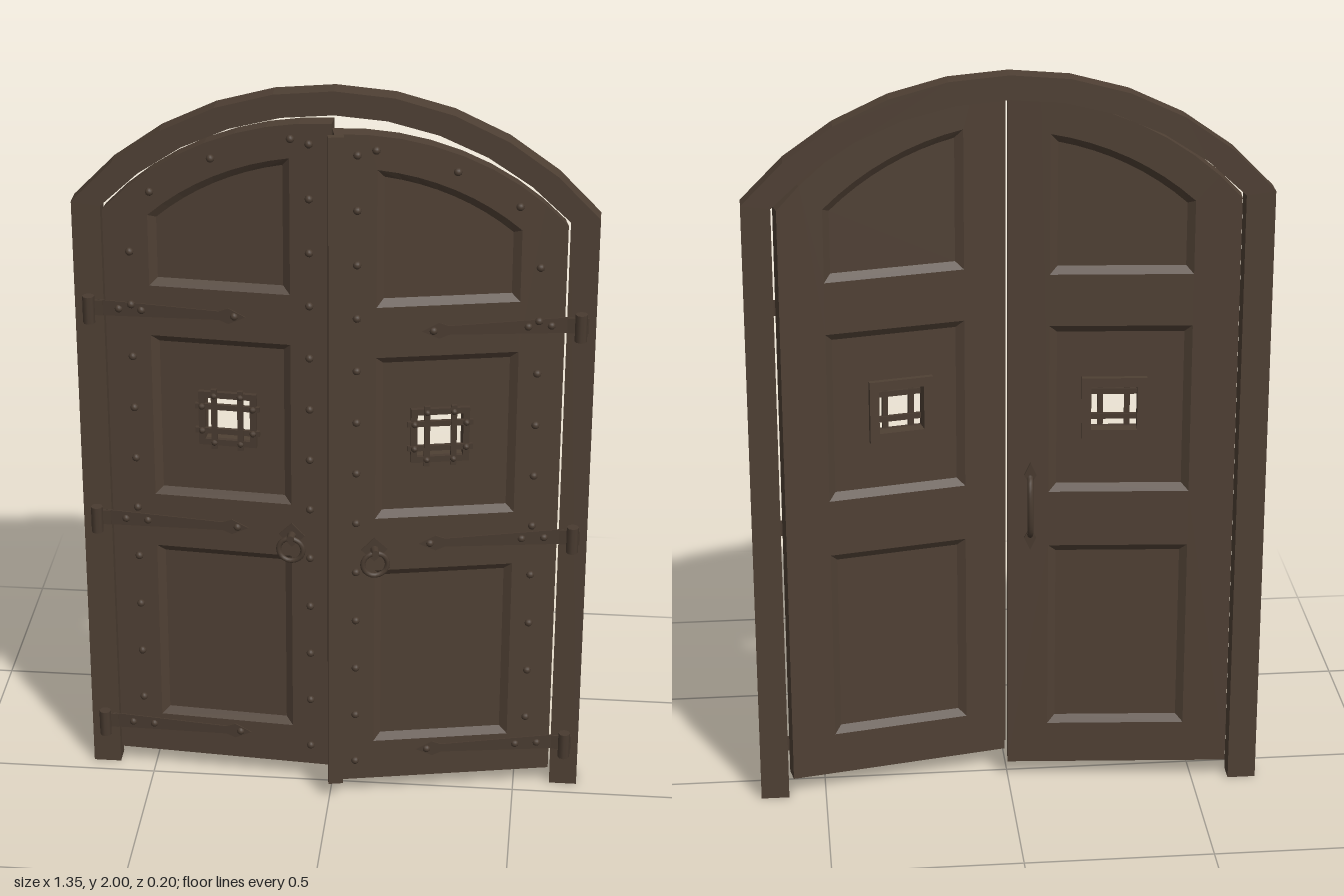
import * as THREE from 'three';

const wood = new THREE.MeshStandardMaterial({ color: 0x4f4034 });
wood.name = 'brown wood';
const iron = new THREE.MeshStandardMaterial({ color: 0x493b30 });
iron.name = 'dark iron';

const ARCH_Y = 1.125;            // centre height of every arch
const HINGE_X = 0.595, WIDTH = 0.595, THICK = 0.045;
const INSET = 0.02, RECESS = 0.014;
const HINGE_YS = [0.135, 0.775, 1.39];

function add(parent, name, geometry, material, x = 0, y = 0, z = 0) {
  const mesh = new THREE.Mesh(geometry, material);
  mesh.name = name;
  mesh.position.set(x, y, z);
  parent.add(mesh);
  return mesh;
}

const V = (x, y) => new THREE.Vector2(x, y);
const rect = (x0, y0, x1, y1) => [V(x0, y0), V(x1, y0), V(x1, y1), V(x0, y1)];

function plate(points, holes, depth, z) {
  const shape = new THREE.Shape(points);
  for (const h of holes) shape.holes.push(new THREE.Path(h));
  return new THREE.ExtrudeGeometry(shape, { depth, bevelEnabled: false }).translate(0, 0, z);
}

// Outline with a flat bottom and an arched top, u running from hinge to free edge
function archedOutline(u0, u1, y0, radius, segments, dir) {
  const pts = [V(dir * u0, y0), V(dir * u1, y0)];
  const a0 = Math.asin((0.6 - u1) / radius), a1 = Math.asin((0.6 - u0) / radius);
  for (let i = 0; i <= segments; i++) {
    const a = a0 + (a1 - a0) * i / segments;
    pts.push(V(dir * (0.6 - radius * Math.sin(a)), ARCH_Y + radius * Math.cos(a)));
  }
  return pts;
}

// Sloped moulding between two matching outlines, on the front (side 1) or back (side -1)
function moulding(outer, inner, zOuter, zInner, side) {
  const flip = THREE.ShapeUtils.isClockWise(outer) !== (side < 0);
  const pos = [];
  outer.forEach((a, i) => {
    const j = (i + 1) % outer.length, b = outer[j], c = inner[j], d = inner[i];
    const q = [[a.x, a.y, zOuter], [b.x, b.y, zOuter], [c.x, c.y, zInner], [d.x, d.y, zInner]];
    for (const k of flip ? [0, 2, 1, 0, 3, 2] : [0, 1, 2, 0, 2, 3]) pos.push(...q[k]);
  });
  const g = new THREE.BufferGeometry();
  g.setAttribute('position', new THREE.Float32BufferAttribute(pos, 3));
  g.computeVertexNormals();
  return g;
}

function doorFrame(root) {
  const pts = [V(-0.675, 0), V(-0.6, 0)];
  const arc = (radius, half, from) => {
    const m = Math.asin(half / radius);
    for (let i = 0; i <= 10; i++) {
      const a = from * m * (1 - i / 5);
      pts.push(V(radius * Math.sin(a), ARCH_Y + radius * Math.cos(a)));
    }
  };
  arc(0.812, 0.6, -1);
  pts.push(V(0.6, 0), V(0.675, 0));
  arc(0.875, 0.675, 1);
  add(root, 'archedFrame', plate(pts, [], 0.055, -0.1), wood);
}

function grille(leaf, dir) {
  const g = new THREE.Group();
  g.name = 'windowGrille';
  g.position.set(dir * 0.317, 1.09, 0);
  leaf.add(g);
  const square = h => rect(-h, -h, h, h);
  add(g, 'frontWindowFrame', plate(square(0.077), [square(0.06)], 0.012, -RECESS), iron);
  add(g, 'backWindowFrame', plate(square(0.085), [square(0.06)], 0.014, -THICK), wood);
  for (const o of [-0.035, 0.035]) {
    add(g, 'verticalBar', new THREE.BoxGeometry(0.015, 0.172, 0.01), iron, o, 0, -0.002);
    add(g, 'horizontalBar', new THREE.BoxGeometry(0.172, 0.015, 0.01), iron, 0, o, -0.005);
  }
  for (const o of [-0.068, 0.068]) for (const p of [-0.035, 0.035]) {
    add(g, 'grilleRivet', new THREE.SphereGeometry(0.009, 8, 6), iron, o, p, 0);
    add(g, 'grilleRivet', new THREE.SphereGeometry(0.009, 8, 6), iron, p, o, 0);
  }
}

function ringPull(leaf, dir) {
  const g = new THREE.Group();
  g.name = 'ringPull';
  g.position.set(dir * 0.488, 0.73, 0);
  leaf.add(g);
  const back = add(g, 'pullPlate', new THREE.BoxGeometry(0.05, 0.05, 0.004), iron, 0, 0.035, 0.002);
  back.rotation.z = Math.PI / 4;
  const post = add(g, 'pullPost', new THREE.CylinderGeometry(0.01, 0.012, 0.03, 10), iron, 0, 0.035, 0.014);
  post.rotation.x = Math.PI / 2;
  add(g, 'ring', new THREE.TorusGeometry(0.033, 0.007, 8, 20), iron, 0, 0, 0.02);
}

function backHandle(leaf, dir) {
  const g = new THREE.Group();
  g.name = 'backHandle';
  g.position.set(dir * 0.535, 0.815, -THICK);
  leaf.add(g);
  const path = new THREE.CatmullRomCurve3([[-0.085, 0], [-0.065, -0.025], [0, -0.038], [0.065, -0.025], [0.085, 0]]
    .map(([y, z]) => new THREE.Vector3(0, y, z)));
  add(g, 'grip', new THREE.TubeGeometry(path, 16, 0.008, 8), iron);
  for (const s of [-1, 1]) {
    const end = [V(0, s * 0.06), V(0.016, s * 0.09), V(0, s * 0.125), V(-0.016, s * 0.09)];
    add(g, 'handleEnd', plate(end, [], 0.006, -0.006), iron);
  }
}

function doorLeaf(root, name, dir, angle) {
  const leaf = new THREE.Group();
  leaf.name = name;
  leaf.position.set(-dir * HINGE_X, 0, -0.045);
  leaf.rotation.y = -dir * angle;
  root.add(leaf);

  // Stiles and rails around three recessed panels
  const box = (y0, y1) => i => rect(dir * (0.118 + i), y0 + i, dir * (0.487 - i), y1 - i);
  const panels = [
    ['lowerPanel', box(0.168, 0.7)],
    ['middlePanel', box(0.855, 1.32)],
    ['upperPanel', i => archedOutline(0.118 + i, 0.487 - i, 1.46 + i, 0.717 - i, 8, dir)],
  ];
  const outline = archedOutline(0, WIDTH, 0.05, 0.806, 8, dir);
  add(leaf, 'stilesAndRails', plate(outline, panels.map(p => p[1](0)), THICK, -THICK), wood);
  for (const [label, shape] of panels) {
    const c = dir * 0.317;
    const holes = label === 'middlePanel' ? [rect(c - 0.06, 1.03, c + 0.06, 1.15)] : [];
    add(leaf, label, plate(shape(INSET), holes, THICK - 2 * RECESS, RECESS - THICK), wood);
    add(leaf, label + 'FrontMoulding', moulding(shape(0), shape(INSET), 0, -RECESS, 1), wood);
    add(leaf, label + 'BackMoulding', moulding(shape(0), shape(INSET), -THICK, RECESS - THICK, -1), wood);
  }

  // Tapered hinge straps with pointed ends
  for (const y of HINGE_YS) {
    const strap = [[-0.02, 0.022], [0.3, 0.012], [0.325, 0.022], [0.37, 0]];
    const pts = [...strap.map(([u, h]) => V(dir * u, y + h)),
      ...strap.slice(0, 3).reverse().map(([u, h]) => V(dir * u, y - h))];
    add(leaf, 'hingeStrap', plate(pts, [], 0.003, 0), iron);
  }

  // Round studs along both edges, the arch and the straps
  const studs = [[0.125, 1.72], [0.285, 1.82], [0.49, 1.885]];
  for (let i = 0; i < 13; i++) studs.push([0.537, 0.11 + i * 0.147]);
  for (let i = 0; i < 10; i++) studs.push([0.068, 0.22 + i * 0.148]);
  for (const y of HINGE_YS) for (const u of [0.035, 0.095, 0.34]) studs.push([u, y]);
  const dome = new THREE.SphereGeometry(0.011, 10, 5, 0, Math.PI * 2, 0, Math.PI / 2).rotateX(Math.PI / 2);
  for (const [u, y] of studs) add(leaf, 'stud', dome, iron, dir * u, y, 0);

  grille(leaf, dir);
  ringPull(leaf, dir);
  return leaf;
}

export function createModel() {
  const root = new THREE.Group();
  root.name = 'archedDoubleDoor';
  doorFrame(root);

  const right = doorLeaf(root, 'rightLeaf', 1, 0.075);
  backHandle(right, 1);
  const left = doorLeaf(root, 'leftLeaf', -1, 0.2);
  add(left, 'meetingStrip', new THREE.BoxGeometry(0.04, 1.88, 0.02), wood, -0.592, 0.99, 0.01);

  // Hinge barrels and their plates on the frame
  for (const s of [-1, 1]) for (const y of HINGE_YS) {
    add(root, 'hingeBarrel', new THREE.CylinderGeometry(0.016, 0.016, 0.075, 8), iron, s * 0.637, y, -0.03);
    add(root, 'hingePlate', new THREE.BoxGeometry(0.055, 0.042, 0.006), iron, s * 0.629, y, -0.043);
  }
  return root;
}
